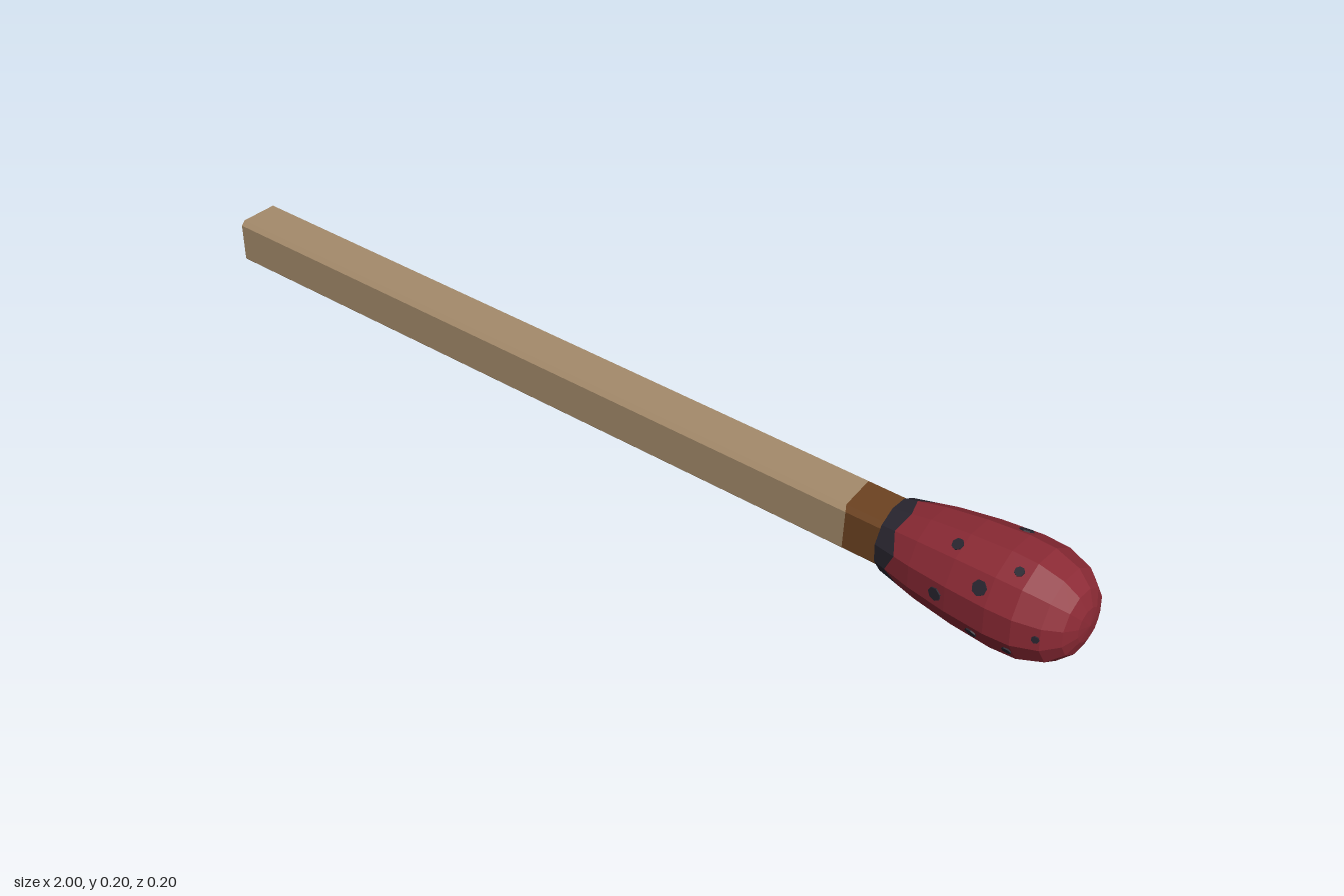
import * as THREE from 'three';

const mat = (name, color) => new THREE.MeshStandardMaterial({ name, color });

// Skin rings of [x, y, z] points, ordered along +x, with flat facets
function loft(rings) {
  const out = [];
  const push = (a, b, c) => {
    const [p, q, r] = [a, b, c].map(v => new THREE.Vector3(...v));
    if (q.clone().sub(p).cross(r.clone().sub(p)).length() > 1e-9) out.push(...a, ...b, ...c);
  };
  for (let i = 0; i < rings.length - 1; i++) {
    const r = rings[i], s = rings[i + 1], n = r.length;
    for (let j = 0; j < n; j++) {
      const k = (j + 1) % n;
      push(r[j], s[j], r[k]);
      push(r[k], s[j], s[k]);
    }
  }
  const g = new THREE.BufferGeometry();
  g.setAttribute('position', new THREE.Float32BufferAttribute(out, 3));
  g.computeVertexNormals();
  return g;
}

// Chamfered square section; x may be one value or one per corner
function barRing(x, h = 0.048, c = 0.009) {
  const k = h - c;
  return [[h, -k], [h, k], [k, h], [-k, h], [-h, k], [-h, -k], [-k, -h], [k, -h]]
    .map(([z, y], i) => [Array.isArray(x) ? x[i] : x, y, z]);
}

// Head profile: [distance along the match, distance from axis to facet]
const PROFILE = [[1.62, 0.066], [1.70, 0.083], [1.78, 0.094], [1.86, 0.1], [1.91, 0.098],
  [1.957, 0.083], [1.984, 0.059], [1.996, 0.031], [2.0, 0]];
const SIDES = 12;

function profileAt(x) {
  let i = 0;
  while (i < PROFILE.length - 2 && x > PROFILE[i + 1][0]) i++;
  const [x0, r0] = PROFILE[i], [x1, r1] = PROFILE[i + 1];
  const slope = (r1 - r0) / (x1 - x0);
  return { r: r0 + slope * (x - x0), slope };
}

function headRing(x, radius) {
  return Array.from({ length: SIDES }, (_, j) => {
    const a = (j + 0.5) * Math.PI * 2 / SIDES;
    const px = Array.isArray(x) ? x[j] : x;
    const r = (radius ?? profileAt(px).r) / Math.cos(Math.PI / SIDES);
    return [px, r * Math.sin(a), r * Math.cos(a)];
  });
}

export function createModel() {
  const wood = mat('wood', 0xa68c6c);
  const scorched = mat('scorched wood', 0x6e4422);
  const red = mat('red head', 0x8c2a35);
  const char = mat('char', 0x2a2731);

  const model = new THREE.Group();
  model.name = 'match';
  // The stick rests on its end and its head, so the whole match tilts
  const tilted = new THREE.Group();
  tilted.name = 'tiltedMatch';
  tilted.position.set(-1, 0.05, 0);
  tilted.rotation.z = 0.027;
  model.add(tilted);

  const add = (name, geometry, material) => {
    const mesh = new THREE.Mesh(geometry, material);
    mesh.name = name;
    tilted.add(mesh);
    return mesh;
  };

  // Stick with a chamfered end and an uneven scorched tip
  const burnEdge = [1.54, 1.545, 1.54, 1.53, 1.525, 1.53, 1.535, 1.54];
  add('stick', loft([barRing(0, 0), barRing(0, 0.042), barRing(0.006), barRing(burnEdge)]), wood);
  add('scorchedTip', loft([barRing(burnEdge), barRing(1.64)]), scorched);

  // Charred collar with a ragged front edge, then the faceted head
  const ragged = [1.665, 1.65, 1.66, 1.645, 1.665, 1.655, 1.64, 1.66, 1.67, 1.65, 1.66, 1.645];
  add('charredCollar', loft([headRing(1.62, 0), headRing(1.62), headRing(ragged)]), char);
  add('head', loft([headRing(ragged), ...PROFILE.slice(1).map(([x]) => headRing(x))]), red);

  // Dark specks lying on the head's facets: [x, angle in degrees, radius]
  const specks = [[1.76, 0, 0.013], [1.84, 30, 0.014], [1.83, -30, 0.011], [1.9, -30, 0.009],
    [1.95, 0, 0.007], [1.77, 60, 0.011], [1.89, 60, 0.009], [1.84, 120, 0.013],
    [1.82, -120, 0.013], [1.75, 180, 0.012], [1.88, 180, 0.01], [1.74, -90, 0.011]];
  for (const [x, degrees, size] of specks) {
    const a = THREE.MathUtils.degToRad(degrees);
    const { r, slope } = profileAt(x);
    const normal = new THREE.Vector3(-slope, Math.sin(a), Math.cos(a)).normalize();
    const speck = add('speck', new THREE.CylinderGeometry(size, size, 0.005, 7).toNonIndexed(), char);
    speck.geometry.computeVertexNormals();
    speck.position.set(x, r * Math.sin(a), r * Math.cos(a));
    speck.quaternion.setFromUnitVectors(new THREE.Vector3(0, 1, 0), normal);
  }
  return model;
}
